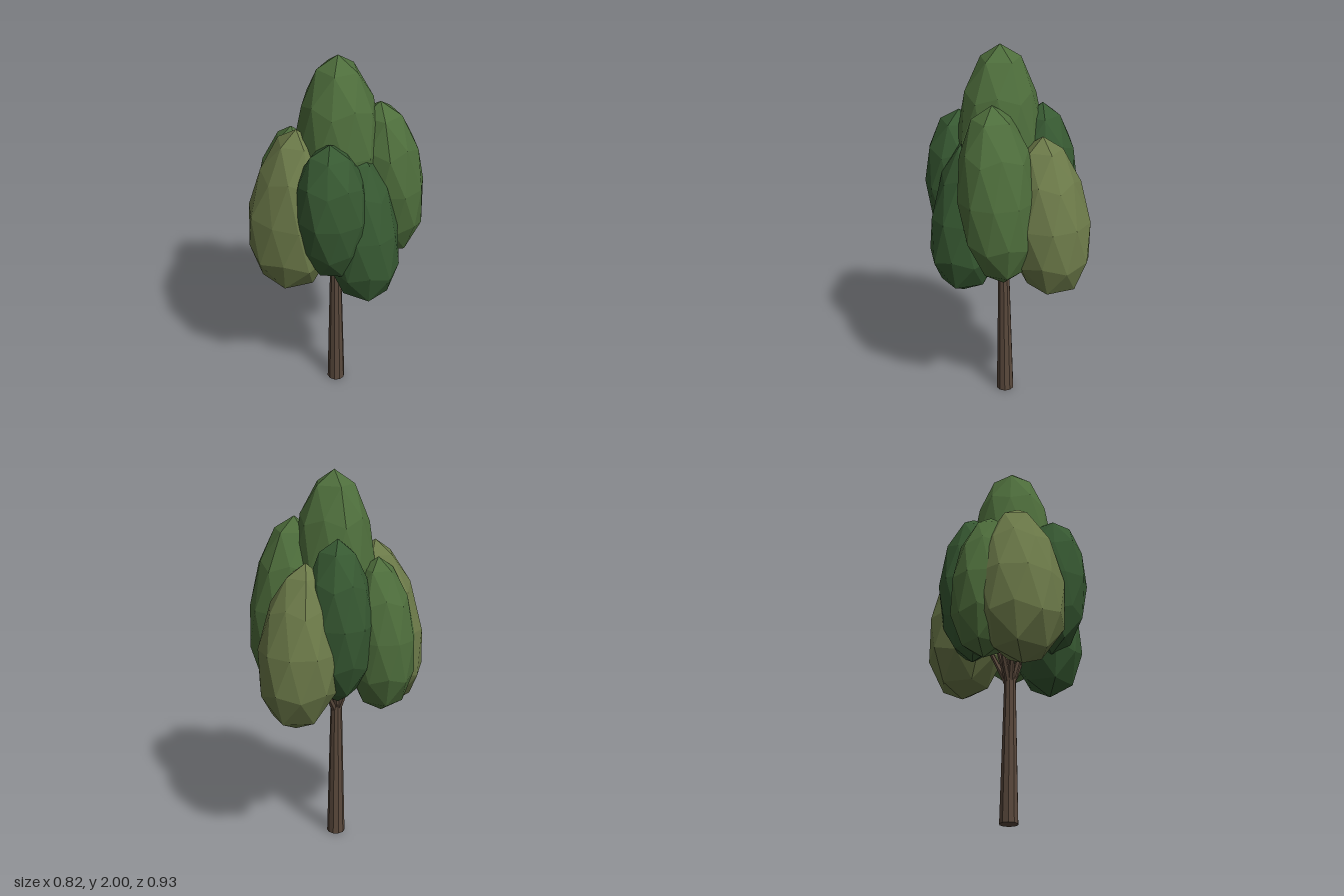
import * as THREE from 'three';

const mat = (color) => new THREE.MeshStandardMaterial({ color, flatShading: true, roughness: 1 });
const OLIVE = mat(0x6c7a49), GREEN = mat(0x4e6e3c), DARK = mat(0x375932), BARK = mat(0x5a493c);

// Foliage clump: low-poly ball with a vertex on top, stretched, tapered upward and leaning
function clump(name, material, center, radii, taper, lean, spin) {
  const geo = new THREE.IcosahedronGeometry(1, 1);
  geo.rotateZ(-Math.atan(2 / (1 + Math.sqrt(5)))).rotateY(spin);
  const pos = geo.attributes.position, v = new THREE.Vector3();
  for (let i = 0; i < pos.count; i++) {
    v.fromBufferAttribute(pos, i);
    const y = v.y, width = 1 - taper * y;
    const bump = 1 + 0.04 * Math.sin(5 * v.x + 3 * v.y + spin * 7) * Math.cos(4 * v.z - spin);
    pos.setXYZ(i,
      v.x * radii[0] * width * bump + lean[0] * y,
      y * radii[1],
      v.z * radii[2] * width * bump + lean[1] * y);
  }
  geo.computeVertexNormals();
  const mesh = new THREE.Mesh(geo, material);
  mesh.name = name;
  mesh.position.set(...center);
  return mesh;
}

// Tapered limb between two points
function limb(name, from, to, r0, r1, sides) {
  const a = new THREE.Vector3(...from), dir = new THREE.Vector3(...to).sub(a);
  const geo = new THREE.CylinderGeometry(r1, r0, dir.length(), sides);
  const mesh = new THREE.Mesh(geo, BARK);
  mesh.name = name;
  mesh.position.copy(a).addScaledVector(dir, 0.5);
  mesh.quaternion.setFromUnitVectors(new THREE.Vector3(0, 1, 0), dir.normalize());
  return mesh;
}

export function createModel() {
  const tree = new THREE.Group();
  tree.name = 'tree';

  // Crown: name, material, centre, radii, taper, lean of the top (x, z), spin
  const clumps = [
    ['crownTop', GREEN, [0.015, 1.53, 0.03], [0.22, 0.47, 0.21], 0.1, [0, 0], 0.3],
    ['crownFront', OLIVE, [-0.09, 1.185, 0.25], [0.24, 0.455, 0.205], 0.2, [0.01, -0.03], 0.9],
    ['crownBack', OLIVE, [-0.085, 1.155, -0.25], [0.21, 0.425, 0.215], 0.18, [0.01, 0.04], 0.1],
    ['crownBackLeft', GREEN, [0.16, 1.3, -0.165], [0.205, 0.46, 0.19], 0.03, [0, 0.05], 0.6],
    ['crownBackRight', DARK, [-0.165, 1.275, -0.08], [0.185, 0.425, 0.175], 0.05, [0, 0], 1.1],
    ['crownFrontLeft', DARK, [0.145, 1.255, 0.2], [0.185, 0.385, 0.19], 0, [0, 0.01], 0.4],
    ['crownLeft', DARK, [0.2, 1.135, 0.05], [0.195, 0.435, 0.18], 0.27, [-0.03, 0], 0.0],
    ['crownRight', GREEN, [-0.22, 1.18, 0.145], [0.19, 0.405, 0.175], 0.15, [0.02, 0], 0.8],
  ];
  for (const c of clumps) tree.add(clump(...c));

  // Trunk, with a branch reaching into every clump
  const base = [-0.01, 0, 0.025], fork = [-0.005, 0.76, 0.03];
  tree.add(limb('trunk', base, fork, 0.048, 0.03, 10));
  for (const [name, , [x, y, z]] of clumps) {
    tree.add(limb(name.replace('crown', 'branch'), [-0.005, 0.7, 0.03], [x * 0.6, y - 0.12, z * 0.6], 0.018, 0.008, 6));
  }
  return tree;
}
